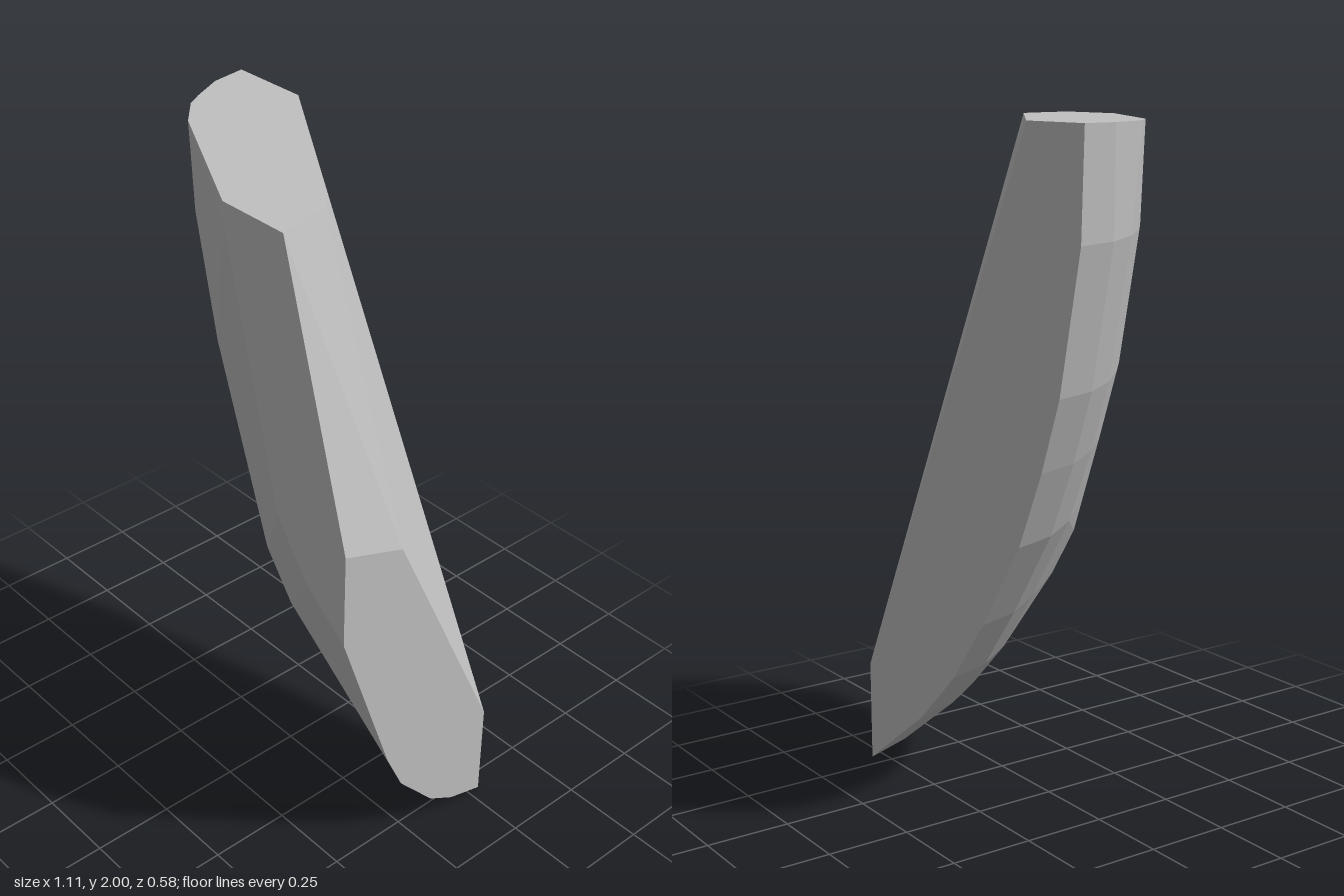
import * as THREE from 'three';
import { ConvexGeometry } from 'three/addons/geometries/ConvexGeometry.js';

export function createModel() {
  const stone = new THREE.MeshStandardMaterial({ color: 0xc0c0c0 });
  const X = 0.553, Z = 0.29;
  const points = [];
  const add = (...list) => list.forEach((p) => points.push(new THREE.Vector3(...p)));

  // curved outer outline on the flat back
  const outline = [
    [-X, 2], [-0.54, 1.7], [-0.45, 1.3], [-0.37, 1.09], [-0.265, 0.865],
    [-0.085, 0.6], [0.07, 0.4], [0.25, 0.225], [X, 0],
  ];
  outline.forEach(([x, y]) => add([x, y, -Z]));

  // rounded rim: the outline steps inward as it comes forward
  const rim = [[0.022, -0.17], [0.066, -0.08], [0.12, -0.015], [0.17, 0.03]];
  for (let i = 1; i < outline.length - 1; i++) {
    const dx = outline[i + 1][0] - outline[i - 1][0];
    const dy = outline[i + 1][1] - outline[i - 1][1];
    const len = Math.hypot(dx, dy);
    for (const [inset, z] of rim) {
      add([outline[i][0] - (dy / len) * inset, outline[i][1] + (dx / len) * inset, z]);
    }
  }

  // flat top cut
  add([-0.305, 2, -Z], [0.23, 2, 0.075], [0.27, 2, 0.12], [0.31, 2, Z], [0.08, 2, Z],
    [-0.365, 2, 0.05], [-0.455, 2, -0.03], [-0.485, 2, -0.08], [-0.535, 2, -0.18]);

  // flat side cut
  add([X, 0.31, -Z], [X, 1.1, 0.085], [X, 1.17, Z], [X, 0.88, Z],
    [X, 0.36, 0.11], [X, 0.23, 0.05], [X, 0.085, -0.08], [X, 0.033, -0.17]);

  // lower corners of the front face and the facet below it
  add([0.08, 1.95, Z], [0.285, 1.16, Z], [0.4, 1.0, Z],
    [0.22, 0.63, 0.112], [0.1, 0.65, 0.085], [0, 0.8, 0.09]);

  const shard = new THREE.Mesh(new ConvexGeometry(points), stone);
  shard.name = 'stoneShard';
  const group = new THREE.Group();
  group.name = 'shard';
  group.add(shard);
  return group;
}
